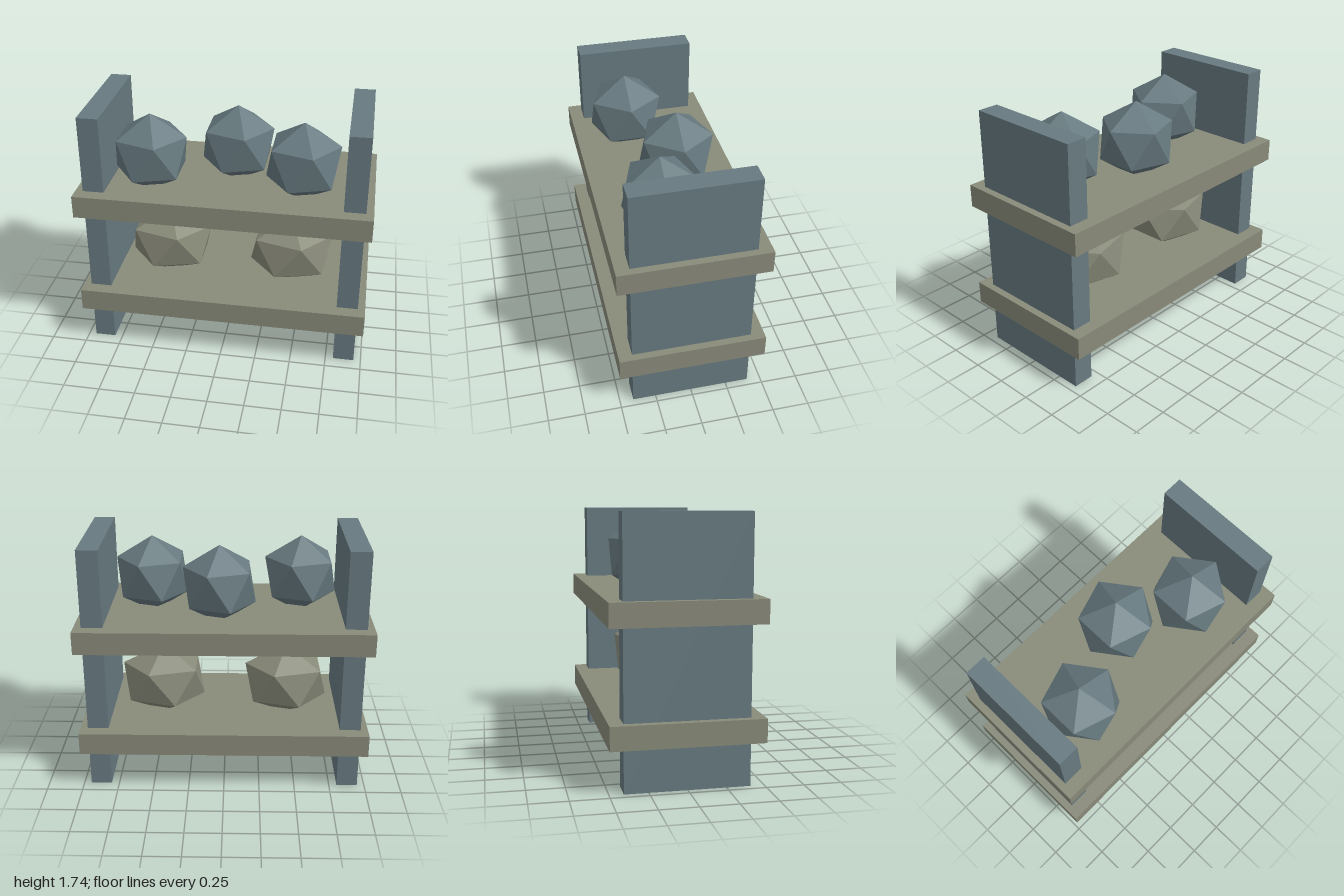
import * as THREE from 'three';

export function createModel() {
  const model = new THREE.Group();
  model.name = 'shelfWithStones';

  const slate = new THREE.MeshStandardMaterial({ color: 0x677a80, flatShading: true });
  slate.name = 'slate blue';
  const olive = new THREE.MeshStandardMaterial({ color: 0x888a79, flatShading: true });
  olive.name = 'olive grey';

  function add(name, geometry, material, x, y, z) {
    const mesh = new THREE.Mesh(geometry, material);
    mesh.name = name;
    mesh.position.set(x, y, z);
    model.add(mesh);
    return mesh;
  }

  // Upright side panels
  const panel = new THREE.BoxGeometry(0.145, 1.735, 0.815);
  add('leftPanel', panel, slate, 0.877, 0.8675, 0);
  add('rightPanel', panel, slate, -0.877, 0.8675, 0);

  // Shelf boards
  const board = new THREE.BoxGeometry(2, 0.157, 1);
  add('lowerShelf', board, olive, 0, 0.369, 0);
  add('upperShelf', board, olive, 0, 1.123, 0);

  // Faceted stone: icosahedron standing on a vertex, upper ring pointing to +x
  const stone = new THREE.IcosahedronGeometry(1, 0);
  stone.rotateZ(-Math.atan(2 / (1 + Math.sqrt(5))));

  // Round stones on the upper shelf
  for (const [x, z] of [[-0.53, 0.14], [0.035, -0.1], [0.51, 0.12]]) {
    add('upperStone', stone, slate, x, 1.404, z).scale.setScalar(0.279);
  }

  // Wider stones on the lower shelf
  for (const x of [-0.44, 0.44]) {
    add('lowerStone', stone, olive, x, 0.65, 0).scale.set(0.326, 0.265, 0.278);
  }

  return model;
}
